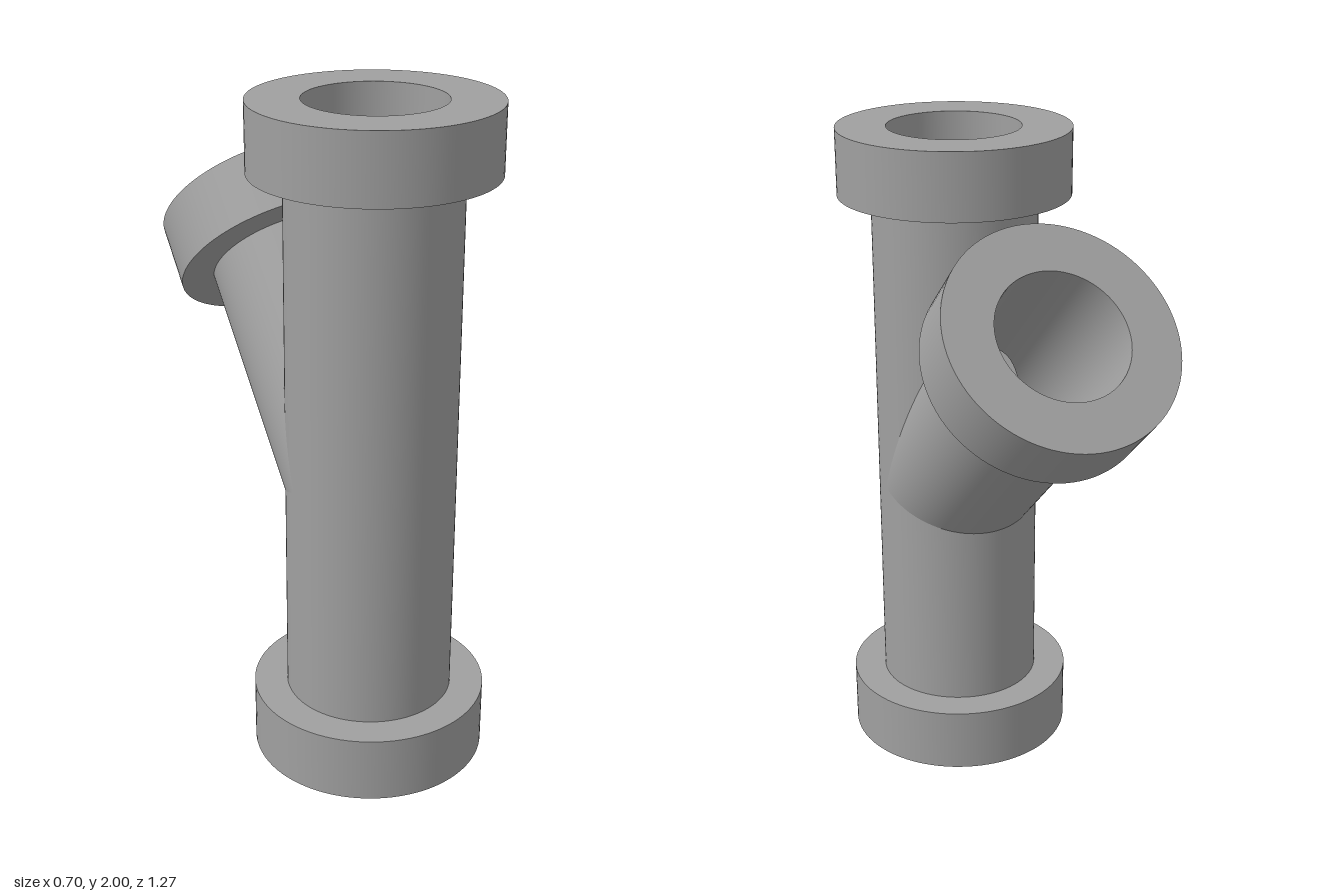
import * as THREE from 'three';
import { mergeGeometries } from 'three/addons/utils/BufferGeometryUtils.js';

const BORE = 0.2, PIPE = 0.25, COLLAR = 0.35, COLLAR_H = 0.2;
const JOINT_Y = 0.887, JOINT_Z = 0.283; // where the two pipe axes cross
const BOTTOM = -JOINT_Y, TOP = 2 - JOINT_Y, BRANCH_END = 0.945;
const SEGMENTS = 96;

// Smooth cylinder wall about y; each end is a height or a function of (depth z)
function wall(r, low, high, from = 0, to = 2 * Math.PI, inward = false) {
  const n = Math.round(SEGMENTS * (to - from) / (2 * Math.PI));
  const at = (end, z) => (typeof end === 'function' ? end(z) : end);
  const positions = [], normals = [], uvs = [], index = [];
  const side = inward ? -1 : 1;
  for (let i = 0; i <= n; i++) {
    const a = from + (to - from) * i / n;
    const c = Math.cos(a), s = Math.sin(a);
    for (const end of [low, high]) {
      positions.push(r * c, at(end, r * s), r * s);
      normals.push(side * c, 0, side * s);
      uvs.push(i / n, end === low ? 0 : 1);
    }
    if (i < n) {
      const k = 2 * i;
      if (inward) index.push(k, k + 2, k + 1, k + 1, k + 2, k + 3);
      else index.push(k, k + 1, k + 2, k + 1, k + 3, k + 2);
    }
  }
  const g = new THREE.BufferGeometry();
  g.setAttribute('position', new THREE.Float32BufferAttribute(positions, 3));
  g.setAttribute('normal', new THREE.Float32BufferAttribute(normals, 3));
  g.setAttribute('uv', new THREE.Float32BufferAttribute(uvs, 2));
  g.setIndex(index);
  return g;
}

// Flat annular face at height y, facing up or down
function ring(inner, y, up) {
  return new THREE.RingGeometry(inner, COLLAR, SEGMENTS, 1)
    .rotateX(up ? -Math.PI / 2 : Math.PI / 2).translate(0, y, 0);
}

// Main wall: full front half, back half split around the branch opening
function mainWall(r, low, high, inward) {
  const under = z => -z * (1 - Math.SQRT2);
  const over = z => -z * (1 + Math.SQRT2);
  return mergeGeometries([
    wall(r, low, high, 0, Math.PI, inward),
    wall(r, low, under, Math.PI, 2 * Math.PI, inward),
    wall(r, over, high, Math.PI, 2 * Math.PI, inward),
  ]);
}

// Branch wall: starts on the mitred curve where it meets the main wall
function branchWall(r, high, inward) {
  return wall(r, z => z + Math.SQRT2 * Math.abs(z), high, 0, 2 * Math.PI, inward);
}

// Collar whose open face is at the top or the bottom
function collar(y, faceUp) {
  return mergeGeometries([
    wall(COLLAR, y, y + COLLAR_H),
    ring(faceUp ? PIPE : BORE, y, false),
    ring(faceUp ? BORE : PIPE, y + COLLAR_H, true),
  ]);
}

export function createModel() {
  const grey = new THREE.MeshStandardMaterial({ color: 0xa0a0a0 });
  grey.name = 'grey';

  const model = new THREE.Group();
  model.name = 'pipeFitting';
  const add = (parent, name, geometry) => {
    const mesh = new THREE.Mesh(geometry, grey);
    mesh.name = name;
    parent.add(mesh);
  };

  // Upright pipe with a collar at each end
  const main = new THREE.Group();
  main.name = 'mainPipe';
  main.position.set(0, JOINT_Y, JOINT_Z);
  add(main, 'mainOuterWall', mainWall(PIPE, BOTTOM + COLLAR_H, TOP - COLLAR_H, false));
  add(main, 'mainBore', mainWall(BORE, BOTTOM, TOP, true));
  add(main, 'bottomCollar', collar(BOTTOM, false));
  add(main, 'topCollar', collar(TOP - COLLAR_H, true));

  // Branch rising backwards at 45 degrees
  const branch = new THREE.Group();
  branch.name = 'branchPipe';
  branch.position.copy(main.position);
  branch.rotation.x = -Math.PI / 4;
  add(branch, 'branchOuterWall', branchWall(PIPE, BRANCH_END - COLLAR_H, false));
  add(branch, 'branchBore', branchWall(BORE, BRANCH_END, true));
  add(branch, 'branchCollar', collar(BRANCH_END - COLLAR_H, true));

  model.add(main, branch);
  return model;
}
